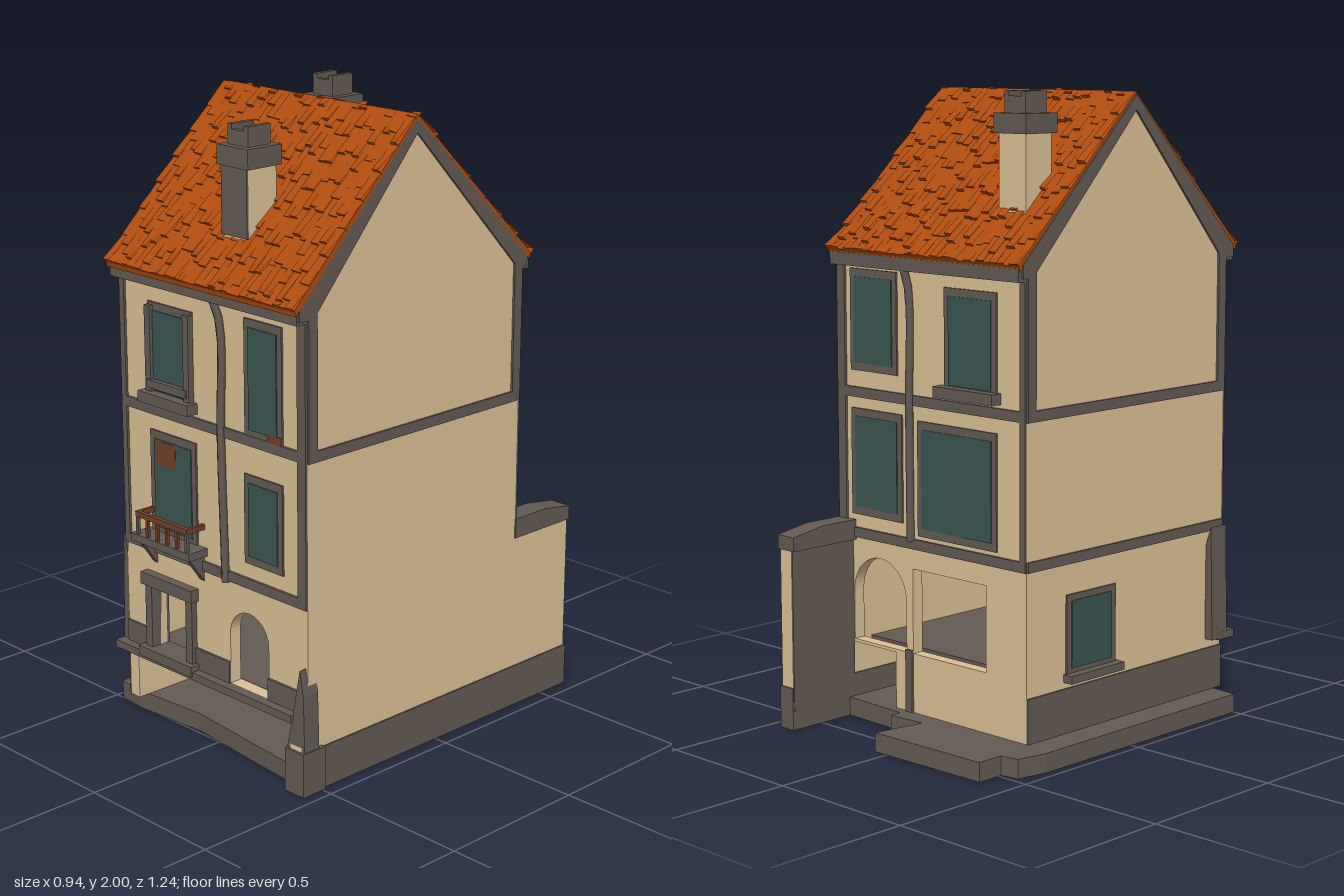
import * as THREE from 'three';

const mat = (name, color, extra = {}) => Object.assign(new THREE.MeshStandardMaterial({ color, ...extra }), { name });

export function createModel() {
  const house = new THREE.Group();
  house.name = 'townHouse';
  const plaster = mat('plaster', 0xdcc196);
  const stone = mat('stone', 0x645a53);
  const glass = mat('glass', 0x3a5652);
  const wood = mat('wood', 0x71402a);
  const tile = mat('roofTile', 0xb04c10, { flatShading: true, side: THREE.DoubleSide });

  let seed = 7;
  const rand = () => (seed = (seed * 16807) % 2147483647) / 2147483647;

  const add = (name, geo, m, parent = house) => {
    const mesh = new THREE.Mesh(geo, m);
    mesh.name = name;
    parent.add(mesh);
    return mesh;
  };
  // box given by its limits on each axis
  const box = (name, m, x0, x1, y0, y1, z0, z1, parent) => {
    const g = new THREE.BoxGeometry(x1 - x0, y1 - y0, z1 - z0);
    g.translate((x0 + x1) / 2, (y0 + y1) / 2, (z0 + z1) / 2);
    return add(name, g, m, parent);
  };
  const shapeOf = (pts) => new THREE.Shape(pts.map((p) => new THREE.Vector2(p[0], p[1])));
  // (z, y) outline pushed along x
  const alongX = (name, m, pts, x0, x1) => {
    const g = new THREE.ExtrudeGeometry(shapeOf(pts.map(([z, y]) => [-z, y])), { depth: x1 - x0, bevelEnabled: false });
    g.rotateY(Math.PI / 2).translate(x0, 0, 0);
    return add(name, g, m);
  };
  // (x, y) outline with holes pushed along z
  const alongZ = (name, m, shape, z0, z1) => {
    const g = new THREE.ExtrudeGeometry(shape, { depth: z1 - z0, bevelEnabled: false, curveSegments: 10 });
    return add(name, g.translate(0, 0, z0), m);
  };
  const rectHole = (x0, x1, y0, y1) => new THREE.Path([[x0, y0], [x0, y1], [x1, y1], [x1, y0]].map((p) => new THREE.Vector2(...p)));
  const archHole = (x0, x1, y0, y1) => {
    const p = new THREE.Path(), r = (x1 - x0) / 2;
    p.moveTo(x0, y0);
    p.lineTo(x1, y0);
    p.lineTo(x1, y1 - r);
    p.absarc((x0 + x1) / 2, y1 - r, r, 0, Math.PI, false);
    p.lineTo(x0, y0);
    return p;
  };

  const F = 0.545, B = -0.36, L = -0.37, R = 0.45; // wall planes

  // ground slab
  const slab = new THREE.ExtrudeGeometry(shapeOf([
    [-0.47, -0.5], [-0.37, -0.51], [-0.1, -0.49], [0.2, -0.52], [0.42, -0.54], [0.42, 0.38], [0.15, 0.39], [0.15, 0.43],
    [0.02, 0.42], [0.05, 0.59], [-0.39, 0.58], [-0.39, 0.49], [-0.45, 0.48], [-0.47, 0.38],
  ]), { depth: 0.06, bevelEnabled: false });
  add('groundSlab', slab.rotateX(-Math.PI / 2), stone);

  // upper storeys with gables
  alongX('upperStoreys', plaster, [[F, 0.58], [F, 1.49], [0.11, 1.95], [B, 1.47], [B, 0.58]], L, R);

  // tall side wall with the yard extension
  alongX('sideWall', plaster, [[0.575, 0.12], [0.56, 0.22], [F, 0.32], [F, 0.6], [-0.615, 0.6], [-0.615, 0.12]], 0.4, R);
  box('sideWallBase', stone, 0.395, 0.455, 0, 0.135, -0.62, 0.58);
  alongX('yardWallCoping', stone, [[B, 0.575], [B, 0.64], [-0.5, 0.64], [-0.62, 0.62], [-0.62, 0.575]], 0.38, 0.455);
  box('yardWallInside', stone, 0.393, 0.4, 0.06, 0.6, -0.615, B);
  box('cornerPier', stone, 0.385, 0.465, 0, 0.14, 0.49, 0.58);
  alongZ('cornerButtress', stone, shapeOf([[0.385, 0.14], [0.46, 0.14], [0.455, 0.32], [0.44, 0.4], [0.41, 0.25]]), 0.51, 0.57);

  // opposite side wall with base, window and buttress
  box('leftWall', plaster, L, -0.33, 0.06, 0.6, B, F);
  box('leftWallBase', stone, L - 0.006, L, 0.06, 0.2, B, F);
  box('leftWindowFrame', stone, L - 0.006, L, 0.24, 0.49, -0.19, 0.03);
  box('leftWindowPane', glass, L - 0.009, L, 0.26, 0.47, -0.17, 0.01);
  box('leftWindowSill', stone, L - 0.035, L, 0.22, 0.245, -0.2, 0.04);
  alongZ('leftButtress', stone, shapeOf([[-0.4, 0.23], [L, 0.23], [L, 0.54], [-0.39, 0.6]]), 0.47, F);

  // ground floor front, open beneath the floor
  const front = shapeOf([[L, 0.24], [0.41, 0.24], [0.41, 0.6], [L, 0.6]]);
  front.holes.push(rectHole(-0.235, -0.075, 0.265, 0.475), archHole(0.11, 0.28, 0.25, 0.5));
  alongZ('groundFloorFront', plaster, front, F - 0.04, F);
  box('floorEdge', stone, -0.4, 0.41, 0.225, 0.25, 0.5, 0.58);
  box('groundFloor', stone, -0.34, 0.4, 0.225, 0.245, -0.28, 0.51);
  for (const [x0, x1] of [[L, -0.26], [-0.05, 0.11], [0.28, 0.41]]) box('frontPlinth', stone, x0, x1, 0.25, 0.32, F, F + 0.007);

  // doorway surround and step
  for (const x of [-0.265, -0.075]) box('doorJamb', stone, x, x + 0.03, 0.25, 0.5, F - 0.05, F + 0.02);
  box('doorLintel', stone, -0.275, -0.035, 0.475, 0.515, F - 0.05, F + 0.03);
  box('doorStep', stone, -0.28, -0.03, 0.235, 0.268, F - 0.05, F + 0.04);
  box('indoorBench', wood, -0.18, -0.08, 0.33, 0.375, 0.05, 0.2);
  box('indoorCounter', stone, -0.24, -0.08, 0.42, 0.47, 0.0, 0.03);

  // ground floor back with a wide opening and yard passage
  const back = shapeOf([[L, 0.06], [0.2, 0.06], [0.2, 0.24], [0.41, 0.24], [0.41, 0.6], [L, 0.6]]);
  back.holes.push(archHole(0.15, 0.39, 0.25, 0.53), rectHole(-0.2, 0.12, 0.25, 0.52));
  alongZ('groundFloorBack', plaster, back, B, B + 0.04);
  box('backPost', stone, 0.12, 0.15, 0.06, 0.26, B - 0.007, B);

  // storey bands, corner strips and gable trims
  for (const s of [1, -1]) {
    const z0 = s > 0 ? F : B - 0.008, z1 = z0 + 0.008;
    for (const y of [0.585, 1.035]) box('storeyBand', stone, L, R, y, y + 0.032, z0, z1);
    for (const x of [L, 0.415]) box('cornerStrip', stone, x, x + (x < 0 ? 0.022 : 0.035), 0.6, 1.46, z0, z1);
    box('cornice', stone, L, R, 1.45, 1.49, s > 0 ? F : B - 0.035, s > 0 ? F + 0.04 : B);
    const x0 = s > 0 ? R : L - 0.007, x1 = x0 + 0.007;
    box('gableBand', stone, x0, x1, 1.035, 1.068, B, F);
    box('gableStrip', stone, x0, x1, 1.06, 1.5, F - 0.035, F);
    box('gableStrip', stone, x0, x1, 1.06, 1.48, B, B + 0.035);
    alongX('gableRake', stone, [[0.58, 1.46], [0.58, 1.5], [0.11, 1.98], [-0.38, 1.5], [-0.38, 1.46], [B + 0.02, 1.46], [0.11, 1.935], [F - 0.02, 1.46]], x0, x1);
  }
  box('leftLowBand', stone, L - 0.007, L, 0.585, 0.617, B, F);

  // windows: outer limits on the front (s = 1) or back (s = -1)
  const windowAt = (s, x0, x1, y0, y1, sill) => {
    const g = new THREE.Group();
    g.name = s > 0 ? 'frontWindow' : 'backWindow';
    house.add(g);
    const z = s > 0 ? F : B;
    const plate = (n, m, a, b, c, d, t) => box(n, m, a, b, c, d, Math.min(z, z + s * t), Math.max(z, z + s * t), g);
    plate('surround', stone, x0, x1, y0, y1, 0.006);
    plate('pane', glass, x0 + 0.02, x1 - 0.02, y0 + 0.025, y1 - 0.025, 0.009);
    if (sill) plate('sill', stone, x0 - 0.015, x1 + 0.015, y0 - 0.012, y0 + 0.022, 0.04);
    return plate;
  };
  const upper = windowAt(1, -0.24, -0.04, 1.09, 1.39, true);
  for (const x of [-0.24, -0.065]) upper('casing', stone, x, x + 0.025, 1.1, 1.38, 0.02);
  upper('windowRail', stone, -0.23, -0.05, 1.125, 1.15, 0.025);
  windowAt(1, 0.19, 0.35, 1.06, 1.42, false)('stain', wood, 0.29, 0.35, 1.065, 1.09, 0.0095);
  const balconyDoor = windowAt(1, -0.24, -0.03, 0.65, 0.985, false);
  balconyDoor('shutter', wood, -0.21, -0.12, 0.88, 0.955, 0.0098);
  windowAt(1, 0.185, 0.35, 0.665, 0.945, false);
  windowAt(-1, 0.18, 0.39, 1.12, 1.44, false);
  windowAt(-1, -0.25, -0.03, 1.09, 1.41, true);
  windowAt(-1, 0.16, 0.39, 0.66, 1.0, false);
  windowAt(-1, -0.25, 0.09, 0.63, 0.99, false);

  // balcony
  box('balconyFloor', stone, -0.26, 0.01, 0.635, 0.66, F, 0.62);
  for (const x of [-0.245, -0.025]) alongX('balconyBracket', stone, [[F, 0.55], [F, 0.64], [0.61, 0.64]], x, x + 0.02);
  box('balconyRail', wood, -0.24, 0, 0.718, 0.735, 0.603, 0.618);
  for (let i = 0; i < 6; i++) box('balconyPost', i % 5 ? wood : stone, -0.24 + i * 0.0455, -0.23 + i * 0.0455, 0.66, 0.72, 0.606, 0.616);
  for (const x of [-0.24, -0.012]) box('balconySideRail', wood, x, x + 0.012, 0.718, 0.735, F, 0.61);

  // drainpipes
  const pipe = (pts) => add('drainpipe', new THREE.TubeGeometry(new THREE.CatmullRomCurve3(pts.map((p) => new THREE.Vector3(...p))), 12, 0.013, 6), stone);
  pipe([[0.07, 1.47, 0.57], [0.09, 1.38, 0.553], [0.09, 1.05, 0.555], [0.1, 0.58, 0.553]]);
  pipe([[0.13, 1.47, -0.385], [0.12, 1.38, -0.368], [0.12, 1.05, -0.37], [0.12, 0.61, -0.368]]);

  // roof slopes: staggered columns of uneven tiles
  const cols = 30, rows = 7;
  const slope = (name, zEave) => {
    const dz = zEave - 0.11, run = Math.hypot(dz, 0.49), nz = (Math.sign(dz) * 0.49) / run, ny = Math.abs(dz) / run;
    const pos = [], quad = (a, b, c, d) => pos.push(...a, ...b, ...c, ...a, ...c, ...d);
    const at = (x, t, h) => [x, 1.985 - 0.49 * t + ny * h, 0.11 + dz * t + nz * h];
    const w = 0.825 / cols;
    for (let c = 0; c < cols; c++) {
      const x0 = L + c * w, shift = rand();
      for (let r = 0; r <= rows; r++) {
        const t0 = Math.max(0, (r - shift) / rows), t1 = Math.min(1, (r + 1 - shift) / rows);
        const h0 = 0.001 + rand() * 0.006, h1 = 0.006 + rand() * 0.012, k = (rand() - 0.5) * 0.01;
        const xb = x0 + w + 0.003;
        const p = [at(x0, t0, h0), at(x0 + k * (c > 0), t1, h1), at(xb, t1, h1 + k), at(xb, t0, h0)];
        if (dz > 0) quad(...p); else quad(p[3], p[2], p[1], p[0]);
        const f = [at(x0, t1, -0.004), at(xb, t1, -0.004)];
        if (dz > 0) quad(p[1], f[0], f[1], p[2]); else quad(p[2], f[1], f[0], p[1]);
      }
    }
    const g = new THREE.BufferGeometry();
    g.setAttribute('position', new THREE.Float32BufferAttribute(pos, 3));
    g.computeVertexNormals();
    add(name, g, tile);
  };
  slope('frontRoofTiles', 0.6);
  slope('backRoofTiles', -0.395);
  alongX('roofDeck', tile, [[0.595, 1.48], [0.6, 1.5], [0.11, 1.99], [-0.395, 1.5], [-0.39, 1.48], [0.11, 1.955]], L - 0.002, R + 0.007);

  // chimneys with stone caps and hollow pots
  const chimney = (x, z, y0, yCap, top) => {
    const g = new THREE.Group();
    g.name = 'chimney';
    house.add(g);
    box('shaft', plaster, x - 0.055, x + 0.055, y0, yCap, z - 0.055, z + 0.055, g);
    box('cap', stone, x - 0.067, x + 0.067, yCap - 0.01, yCap + 0.05, z - 0.067, z + 0.067, g);
    for (const s of [-1, 1]) {
      box('potSide', stone, x + s * 0.035 - 0.009, x + s * 0.035 + 0.009, yCap + 0.05, top, z - 0.044, z + 0.044, g);
      box('potEnd', stone, x - 0.03, x + 0.03, yCap + 0.05, top - 0.015, z + s * 0.035 - 0.009, z + s * 0.035 + 0.009, g);
    }
    box('potLid', stone, x - 0.025, x + 0.025, top - 0.035, top - 0.02, z - 0.03, z + 0.03, g);
    return g;
  };
  const frontChimney = chimney(0.085, 0.425, 1.6, 1.845, 1.955);
  box('sootFace', stone, 0.03, 0.14, 1.63, 1.84, 0.48, 0.487, frontChimney);
  chimney(-0.21, -0.2, 1.6, 1.88, 1.995);

  return house;
}
